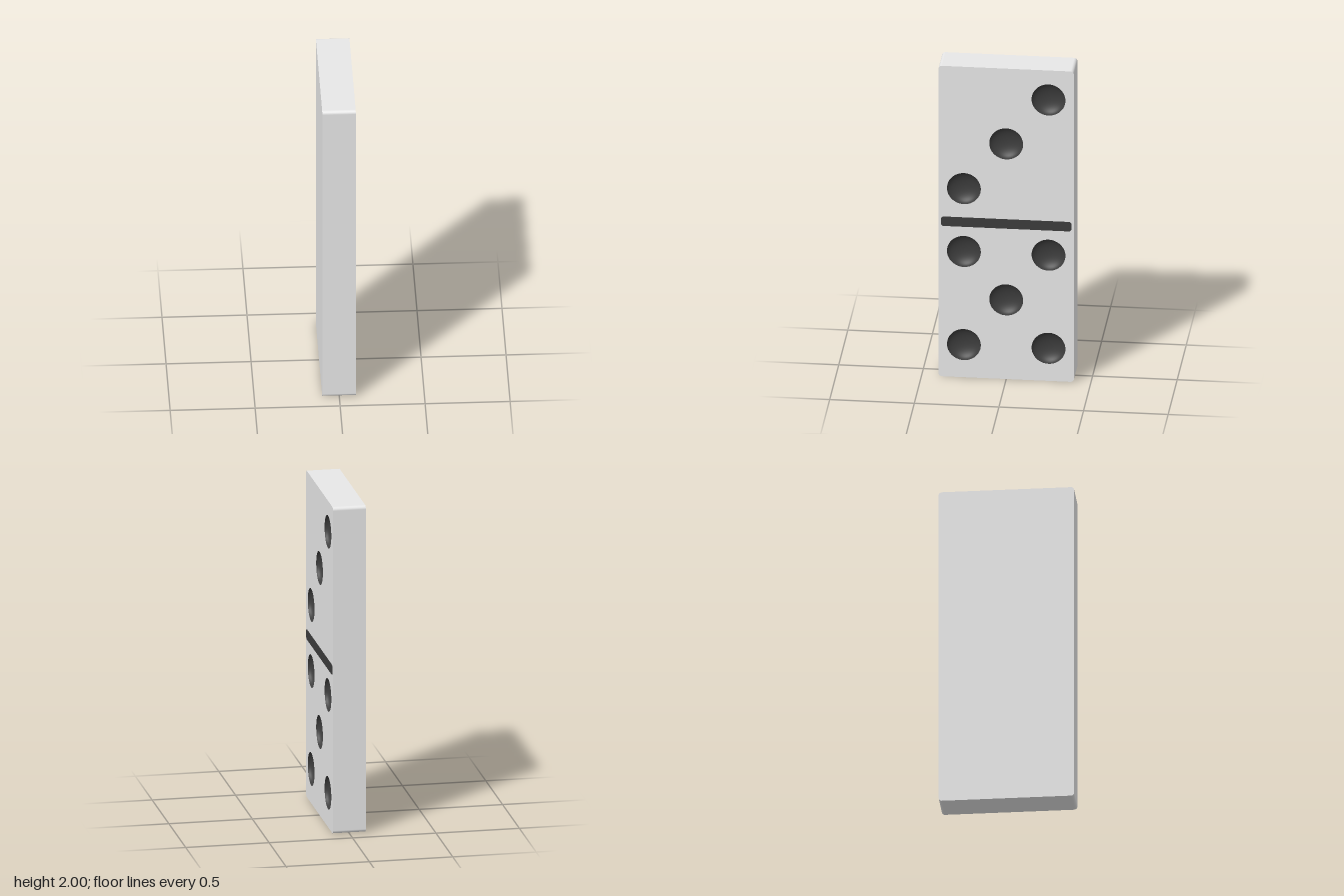
import * as THREE from 'three';

const HEIGHT = 2, HALF_W = 0.4, BACK = -0.1, FACE = 0.097;
const PIP_R = 0.1, PIP_DEPTH = 0.05;

// Pip centres as [z, y]
const PIPS = [
  [-0.25, 1.81], [0, 1.515], [0.25, 1.215],
  [0.25, 0.81], [-0.25, 0.81], [0, 0.51], [0.25, 0.21], [-0.25, 0.21],
];

// Tile outline with small rounded corners; shape x runs along -z
function tileShape() {
  const r = 0.02, w = HALF_W, s = new THREE.Shape();
  s.absarc(w - r, r, r, -Math.PI / 2, 0);
  s.absarc(w - r, HEIGHT - r, r, 0, Math.PI / 2);
  s.absarc(-w + r, HEIGHT - r, r, Math.PI / 2, Math.PI);
  s.absarc(-w + r, r, r, Math.PI, Math.PI * 1.5);
  s.closePath();
  return s;
}

// Extrude a shape across the tile, from x0 to x1
function slab(shape, x0, x1) {
  const g = new THREE.ExtrudeGeometry(shape, { depth: x1 - x0, bevelEnabled: false, curveSegments: 24 });
  return g.translate(0, 0, x0).rotateY(Math.PI / 2);
}

export function createModel() {
  const group = new THREE.Group();
  const ivory = new THREE.MeshStandardMaterial({ color: 0xe8e8e8 });
  ivory.name = 'tile white';
  const black = new THREE.MeshStandardMaterial({ color: 0x3c3c3c });
  black.name = 'pip black';
  const add = (name, geometry, material) => {
    const mesh = new THREE.Mesh(geometry, material);
    mesh.name = name;
    group.add(mesh);
    return mesh;
  };

  // Solid back layer, and a face layer pierced for the pips
  const split = FACE - PIP_DEPTH - 0.005;
  add('tileBack', slab(tileShape(), BACK, split), ivory);
  const face = tileShape();
  for (const [z, y] of PIPS) {
    const hole = new THREE.Path();
    hole.absarc(-z, y, PIP_R, 0, Math.PI * 2, true);
    face.holes.push(hole);
  }
  add('tileFace', slab(face, split, FACE), ivory);

  // Hollow bowls sunk into the face; profile runs from rim to bottom
  const profile = [];
  for (let i = 0; i <= 12; i++) {
    const a = (i / 12) * Math.PI / 2;
    profile.push(new THREE.Vector2(PIP_R * Math.sin(a), -PIP_DEPTH * Math.cos(a)));
  }
  const bowl = new THREE.LatheGeometry(profile, 48).rotateZ(-Math.PI / 2);
  // The inside of the bowl must face outwards
  const bowlInside = black.clone();
  bowlInside.name = 'pip black';
  bowlInside.side = THREE.DoubleSide;
  PIPS.forEach(([z, y], i) => add(`pip${i + 1}`, bowl, bowlInside).position.set(FACE, y, z));

  // Thin dividing bar with clipped ends
  const bar = new THREE.Shape([
    [-0.375, -0.03], [0.375, -0.03], [0.385, -0.02], [0.385, 0.02],
    [0.375, 0.03], [-0.375, 0.03], [-0.385, 0.02], [-0.385, -0.02],
  ].map(([x, y]) => new THREE.Vector2(x, y)));
  add('dividingBar', slab(bar, FACE - 0.002, FACE + 0.003), black).position.y = 1;

  return group;
}
